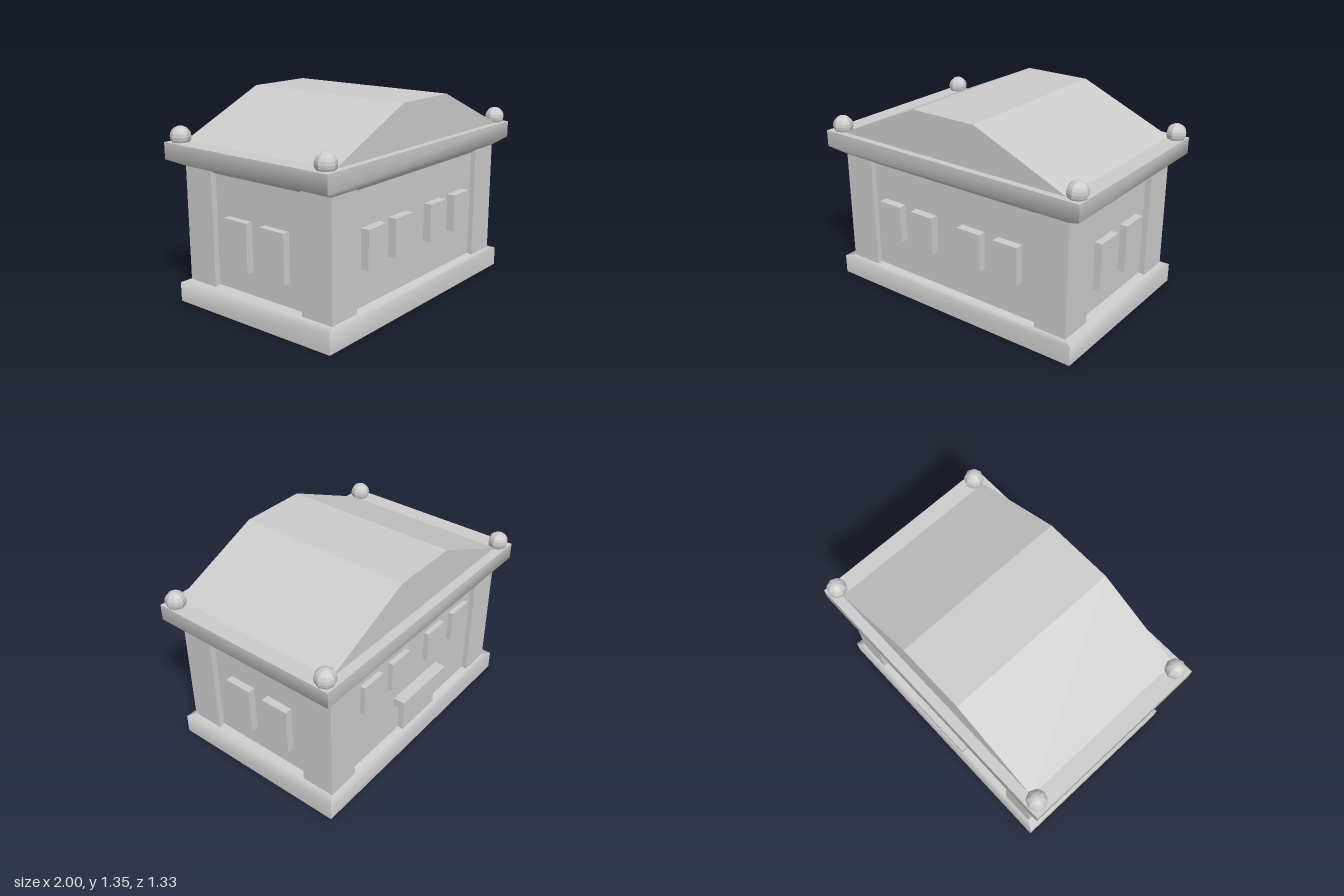
import * as THREE from 'three';

const grey = new THREE.MeshStandardMaterial({ color: 0xcccccc, side: THREE.DoubleSide });
const facet = new THREE.MeshStandardMaterial({ color: 0xcccccc, flatShading: true });

// Rectangular sleeve through levels [y, x0, x1, z0, z1]; smooth up each side, sharp at the corners.
function sleeve(levels) {
  const pos = [], idx = [];
  for (let s = 0; s < 4; s++) {
    const start = pos.length / 3;
    levels.forEach(([y, x0, x1, z0, z1], i) => {
      const c = [[x0, z1], [x1, z1], [x1, z0], [x0, z0]];
      const a = c[s], b = c[(s + 1) % 4];
      pos.push(a[0], y, a[1], b[0], y, b[1]);
      if (i) {
        const k = start + 2 * (i - 1);
        idx.push(k, k + 1, k + 3, k, k + 3, k + 2);
      }
    });
  }
  const g = new THREE.BufferGeometry();
  g.setAttribute('position', new THREE.Float32BufferAttribute(pos, 3));
  g.setIndex(idx);
  g.computeVertexNormals();
  return g;
}

export function createModel() {
  const model = new THREE.Group();
  const add = (name, geo, mat = grey) => {
    const m = new THREE.Mesh(geo, mat);
    m.name = name;
    model.add(m);
    return m;
  };
  const block = (name, x0, x1, y0, y1, z0, z1) =>
    add(name, new THREE.BoxGeometry(x1 - x0, y1 - y0, z1 - z0), facet)
      .position.set((x0 + x1) / 2, (y0 + y1) / 2, (z0 + z1) / 2);

  // Open-bottomed plinth, walls and flared eave
  add('plinth', sleeve([
    [0, -0.955, 0.945, -0.635, 0.635], [0.13, -0.955, 0.945, -0.635, 0.635],
    [0.143, -0.89, 0.89, -0.6, 0.6], [0.15, -0.85, 0.85, -0.565, 0.565]]));
  add('walls', sleeve([[0.15, -0.85, 0.85, -0.565, 0.565], [0.885, -0.85, 0.85, -0.565, 0.565]]));
  add('eave', sleeve([
    [0.885, -0.85, 0.85, -0.565, 0.565], [0.908, -0.89, 0.89, -0.6, 0.6],
    [0.96, -1, 0.992, -0.665, 0.665], [1.07, -1, 0.992, -0.665, 0.665]]));
  const deck = add('eaveTop', new THREE.PlaneGeometry(1.992, 1.33).rotateX(-Math.PI / 2));
  deck.position.set(-0.004, 1.07, 0);

  // Gabled roof with a flat ridge
  const gable = new THREE.Shape([[-0.88, 1.07], [0.88, 1.07], [0.23, 1.35], [-0.245, 1.35]]
    .map(p => new THREE.Vector2(...p)));
  add('roof', new THREE.ExtrudeGeometry(gable, { depth: 1.22, bevelEnabled: false }), facet)
    .position.z = -0.6;

  // Corner pillars with flared feet, and ball finials
  for (const sx of [-1, 1]) for (const sz of [-1, 1]) {
    const span = (a, b, s) => (s > 0 ? [a, b] : [-b, -a]);
    const x = span(0.663, 0.89, sx), z = span(0.37, 0.6, sz), f = 0.025;
    add('pillar', sleeve([[0.12, ...x, ...z], [0.92, ...x, ...z]]));
    add('pillarFoot', sleeve([
      [0.09, x[0] - f, x[1] + f, z[0] - f, z[1] + f], [0.12, ...x, ...z]]));
    add('finial', new THREE.SphereGeometry(0.067, 8, 10), facet)
      .position.set(sx > 0 ? 0.931 : -0.921, 1.104, sz > 0 ? 0.588 : -0.599);
  }

  // Windows
  for (const x of [-0.58, -0.305, 0.083, 0.367])
    block('frontWindow', x, x + 0.178, 0.395, 0.65, 0.55, 0.622);
  for (const x of [-0.575, -0.287, 0.106, 0.388])
    block('backWindow', x, x + 0.183, 0.575, 0.785, -0.6, -0.55);
  for (const s of [-1, 1]) for (const z of [-0.258, 0.047])
    block('sideWindow', Math.min(s * 0.78, s * 0.9), Math.max(s * 0.78, s * 0.9), 0.305, 0.63, z, z + 0.194);

  // Back door with its awning
  block('door', -0.21, 0.15, 0.148, 0.38, -0.605, -0.55);
  add('awning', sleeve([
    [0.37, -0.21, 0.15, -0.605, -0.55], [0.384, -0.27, 0.21, -0.645, -0.55],
    [0.384, -0.27, 0.21, -0.645, -0.55], [0.44, -0.27, 0.21, -0.645, -0.55]]));
  const lid = add('awningTop', new THREE.PlaneGeometry(0.48, 0.095).rotateX(-Math.PI / 2));
  lid.position.set(-0.03, 0.44, -0.5975);

  return model;
}
